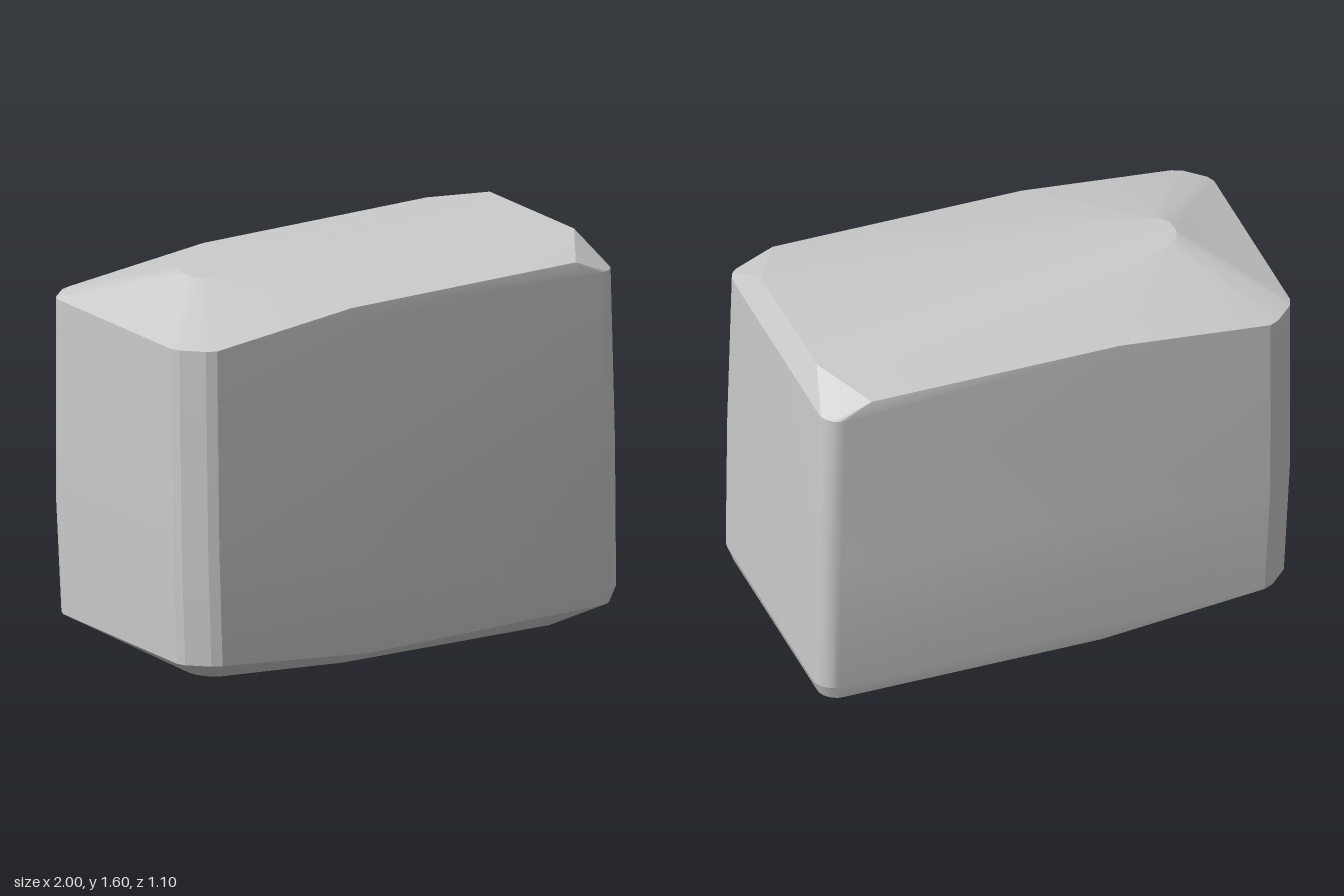
import * as THREE from 'three';
import { ConvexGeometry } from 'three/addons/geometries/ConvexGeometry.js';
import { toCreasedNormals } from 'three/addons/utils/BufferGeometryUtils.js';

// Slightly irregular, bevelled block: the hull of body loops, crown and underside
export function createModel() {
  const points = [];

  // Mirrored pair of points, with a slight skew along the length
  const pair = (x, y, z) => {
    for (const side of [-1, 1]) points.push(new THREE.Vector3(x, y, side * z - 0.01 * x));
  };

  // Softened chamfer at the left end
  const chamfer = (x, y, half) => {
    pair(x, y, half - 0.125);
    pair(x + 0.015, y, half - 0.09);
    pair(x + 0.09, y, half - 0.018);
    pair(x + 0.13, y, half);
  };

  // Rounded vertical edge at the right end
  const roundedEdge = (x, y, half, radius = 0.08) => {
    for (let i = 0; i <= 6; i++) {
      const a = (i / 6) * Math.PI / 2;
      pair(x - radius + radius * Math.cos(a), y, half - radius + radius * Math.sin(a));
    }
  };

  // Body, bulging gently at mid height
  chamfer(-1, 1.45, 0.53);
  chamfer(-0.995, 0.65, 0.538);
  chamfer(-0.975, 0.185, 0.53);
  roundedEdge(0.973, 1.485, 0.535);
  roundedEdge(0.99, 0.8, 0.54);
  roundedEdge(0.997, 0.21, 0.537);
  roundedEdge(0.975, 0.148, 0.525);

  // Upper rim and crown
  pair(-0.25, 1.525, 0.53);
  pair(0.78, 1.543, 0.53);
  pair(-0.15, 1.58, 0.29);
  pair(0.92, 1.6, 0.3);
  for (let i = 0; i <= 4; i++) {
    const a = (i / 4) * Math.PI / 2;
    pair(-0.58 - 0.1 * Math.cos(a), 1.6, 0.1 * Math.sin(a) + 0.002);
  }

  // Lower rim and underside
  pair(-0.17, 0.128, 0.525);
  pair(0.75, 0.06, 0.39);
  pair(-0.2, 0.062, 0.39);
  for (let i = 0; i <= 4; i++) {
    const a = (i / 4) * Math.PI / 2;
    pair(-0.54 - 0.12 * Math.cos(a), 0, 0.12 * Math.sin(a) + 0.002);
  }

  const geometry = toCreasedNormals(new ConvexGeometry(points), 0.28);
  const block = new THREE.Mesh(geometry, new THREE.MeshStandardMaterial({ color: 0xcccccc }));
  block.name = 'bevelledBlock';

  const group = new THREE.Group();
  group.name = 'block';
  group.add(block);
  return group;
}
